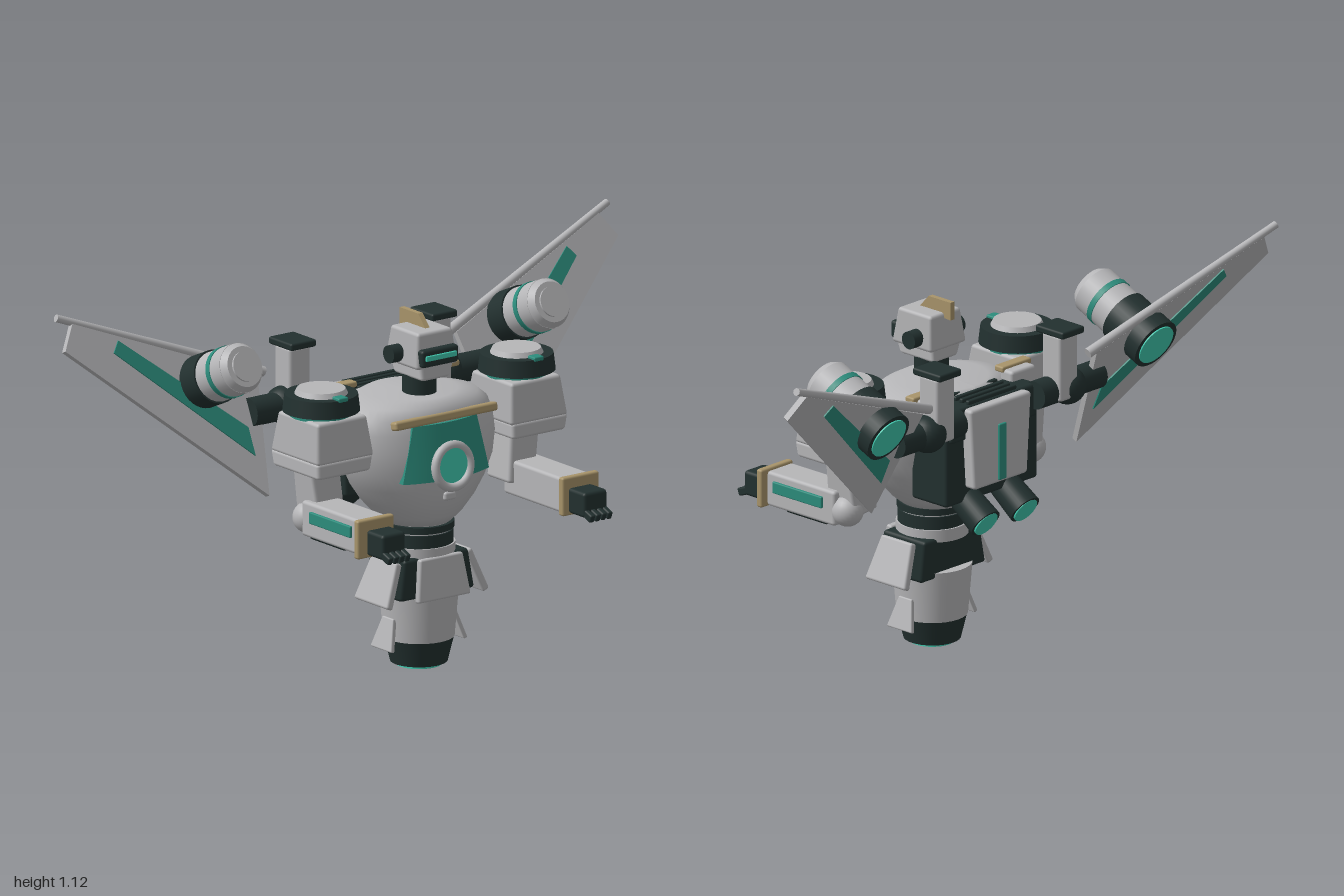
import * as THREE from 'three';
import { RoundedBoxGeometry } from 'three/addons/geometries/RoundedBoxGeometry.js';

const paint = (name, color) => {
  const m = new THREE.MeshStandardMaterial({ color });
  m.name = name;
  return m;
};

export function createModel() {
  const grey = paint('light grey armour', 0xb6b6b8);
  const dark = paint('dark frame', 0x22302f);
  const teal = paint('teal trim', 0x2c8c7c);
  const glow = paint('bright teal glow', 0x42cdb2);
  const gold = paint('tan trim', 0xa8946a);
  const root = new THREE.Group();

  const add = (name, geo, mat, pos = [0, 0, 0], rot = [0, 0, 0]) => {
    const m = new THREE.Mesh(geo, mat);
    m.name = name;
    m.position.set(...pos);
    m.rotation.set(...rot);
    root.add(m);
    return m;
  };
  // softly rounded box
  const box = (name, mat, size, pos, rot) =>
    add(name, new RoundedBoxGeometry(...size, 2, Math.min(0.01, Math.min(...size) * 0.3)), mat, pos, rot);
  // box whose top is scaled in x and z
  const taper = (name, mat, size, top, pos, rot) => {
    const g = new RoundedBoxGeometry(...size, 2, Math.min(0.01, Math.min(...size) * 0.3));
    const p = g.attributes.position;
    for (let i = 0; i < p.count; i++) {
      const t = p.getY(i) / size[1] + 0.5;
      p.setX(i, p.getX(i) * (1 + (top[0] - 1) * t));
      p.setZ(i, p.getZ(i) * (1 + (top[1] - 1) * t));
    }
    return add(name, g, mat, pos, rot);
  };
  // cylinder between two points
  const rod = (name, mat, a, b, ra, rb = ra) => {
    const A = new THREE.Vector3(...a), d = new THREE.Vector3(...b).sub(A), len = d.length();
    const m = add(name, new THREE.CylinderGeometry(rb, ra, len, 32), mat);
    m.position.copy(A).addScaledVector(d, 0.5);
    m.quaternion.setFromUnitVectors(new THREE.Vector3(0, 1, 0), d.normalize());
    return m;
  };
  // upright disc from y0 to y1
  const disc = (name, mat, x, z, y0, y1, r0, r1) => rod(name, mat, [x, y0, z], [x, y1, z], r0, r1);

  // tail thruster, hips and waist
  disc('tailGlow', glow, 0, 0.018, 0, 0.02, 0.066);
  disc('tailNozzle', dark, 0, 0.018, 0.01, 0.088, 0.083, 0.102);
  disc('tailCup', grey, 0, 0.018, 0.085, 0.24, 0.103, 0.116);
  taper('hipBlock', dark, [0.27, 0.12, 0.175], [0.85, 0.95], [0, 0.282, 0.02]);
  taper('frontSkirt', grey, [0.19, 0.125, 0.022], [0.8, 1], [0, 0.28, 0.124], [-0.12, 0, 0]);
  disc('hipRing', grey, 0, 0.018, 0.33, 0.367, 0.105);
  disc('waist', dark, 0, 0.018, 0.36, 0.405, 0.1);
  disc('waistRing', grey, 0, 0.018, 0.4, 0.412, 0.095);
  disc('waistCollar', dark, 0, 0.018, 0.41, 0.43, 0.102);
  disc('waistNeck', grey, 0, 0.018, 0.425, 0.45, 0.09);

  // torso: an egg flattened from front to back
  const profile = [[0.001, 0.43], [0.1, 0.432], [0.135, 0.46], [0.178, 0.505], [0.215, 0.555], [0.243, 0.61],
    [0.256, 0.67], [0.256, 0.725], [0.243, 0.765], [0.21, 0.793], [0.14, 0.81], [0.001, 0.815]];
  const torso = new THREE.LatheGeometry(profile.map(p => new THREE.Vector2(...p)), 48, Math.PI);
  const tp = torso.attributes.position;
  for (let i = 0; i < tp.count; i++) {
    const x = tp.getX(i), y = tp.getY(i), z = tp.getZ(i), r = Math.hypot(x, z);
    tp.setZ(i, z * (1 - 2.4 * Math.max(0, r - 0.1)) + 0.01 - Math.max(0, y - 0.65) * 0.2);
  }
  torso.computeVertexNormals();
  add('torso', torso, grey);

  // chest plate bent around the torso
  const plate = new THREE.BoxGeometry(1, 0.165, 0.04, 16, 4, 1);
  const pp = plate.attributes.position;
  for (let i = 0; i < pp.count; i++) {
    const t = pp.getY(i) / 0.165 + 0.5;
    const x = pp.getX(i) * (0.31 - 0.08 * t);
    pp.setX(i, x);
    pp.setZ(i, pp.getZ(i) + 0.162 - 0.022 * t - 1.5 * x * x);
  }
  plate.computeVertexNormals();
  add('chestPlate', plate, teal, [0, 0.668, 0]);
  box('chestBar', gold, [0.37, 0.026, 0.03], [0, 0.762, 0.137], [-0.2, 0, 0]);
  add('coreRing', new THREE.TorusGeometry(0.062, 0.013, 12, 40), grey, [0, 0.623, 0.178], [-0.1, 0, 0]);
  rod('coreGlow', glow, [0, 0.623, 0.15], [0, 0.623, 0.182], 0.054);
  box('bellyStud', grey, [0.042, 0.026, 0.03], [0, 0.532, 0.155]);

  // head
  disc('neck', dark, 0, 0.02, 0.79, 0.88, 0.05);
  taper('jaw', grey, [0.1, 0.05, 0.135], [1.25, 1.1], [0, 0.888, 0.032]);
  taper('skull', grey, [0.15, 0.105, 0.158], [0.82, 0.83], [0, 0.955, 0.03]);
  box('visor', dark, [0.132, 0.052, 0.03], [0, 0.936, 0.107]);
  box('visorGlow', glow, [0.11, 0.016, 0.008], [0, 0.938, 0.123]);
  rod('ears', dark, [-0.105, 0.936, 0.012], [0.105, 0.936, 0.012], 0.026);
  const crest = new THREE.Shape([[0.065, 1.0], [0.025, 1.044], [-0.062, 1.044], [-0.062, 0.99]]
    .map(([z, y]) => new THREE.Vector2(-z, y)));
  add('crest', new THREE.ExtrudeGeometry(crest, { depth: 0.016, bevelEnabled: false }), gold, [-0.008, 0, 0], [0, Math.PI / 2, 0]);

  // backpack
  box('backpackFrame', dark, [0.38, 0.245, 0.14], [0, 0.625, -0.15]);
  box('backpackTop', dark, [0.36, 0.1, 0.13], [0, 0.745, -0.165]);
  taper('backpackPanel', grey, [0.22, 0.245, 0.06], [1.15, 1], [0, 0.668, -0.227]);
  box('backpackStripe', teal, [0.03, 0.17, 0.012], [0, 0.64, -0.258]);
  for (let i = 0; i < 5; i++) box('ventSlat', dark, [0.2, 0.014, 0.014], [0, 0.8, -0.115 - i * 0.025]);

  // wing plane leans back by this angle, hinged at its lowest point
  const lean = Math.atan(0.445), stretch = 1 / Math.cos(lean);

  for (const s of [1, -1]) {
    const X = (x, y, z) => [s * x, y, z];

    // side skirt and tail fin
    taper('sideSkirt', grey, [0.024, 0.135, 0.16], [1, 0.75], X(0.15, 0.27, 0.03), [0, 0, s * 0.38]);
    taper('tailFin', grey, [0.014, 0.095, 0.1], [1, 0.5], X(0.119, 0.108, 0.018), [0, 0, s * 0.28]);

    // shoulder
    taper('shoulderLip', grey, [0.19, 0.05, 0.215], [1.06, 1.05], X(0.352, 0.668, 0.02));
    taper('shoulderBlock', grey, [0.205, 0.12, 0.226], [0.86, 0.84], X(0.35, 0.747, 0.02));
    disc('shoulderTrim', teal, s * 0.353, 0.018, 0.803, 0.82, 0.092);
    disc('shoulderDisc', dark, s * 0.353, 0.018, 0.817, 0.867, 0.112, 0.106);
    disc('shoulderCap', grey, s * 0.353, 0.018, 0.865, 0.882, 0.078, 0.07);
    box('shoulderClip', teal, [0.035, 0.014, 0.034], X(0.353, 0.868, 0.108));

    // arm
    taper('upperArm', grey, [0.095, 0.18, 0.11], [1.1, 0.8], X(0.352, 0.575, 0.005), [0, 0, -s * 0.12]);
    add('elbow', new THREE.SphereGeometry(0.047, 24, 16), grey, X(0.378, 0.495, -0.008));
    box('forearm', grey, [0.105, 0.105, 0.27], X(0.365, 0.503, 0.142));
    box('forearmPanel', teal, [0.012, 0.035, 0.195], X(0.419, 0.514, 0.15));
    box('forearmGuard', dark, [0.085, 0.03, 0.165], X(0.372, 0.461, 0.122));
    box('cuff', gold, [0.132, 0.115, 0.022], X(0.37, 0.503, 0.289));
    box('hand', dark, [0.084, 0.075, 0.08], X(0.364, 0.492, 0.338));
    for (let i = 0; i < 4; i++)
      box('finger', dark, [0.017, 0.024, 0.045], X(0.333 + i * 0.021, 0.464, 0.382), [0.35, 0, 0]);

    // lower back thruster
    rod('backThruster', dark, X(0.082, 0.53, -0.15), X(0.082, 0.444, -0.272), 0.044, 0.05);
    rod('backThrusterGlow', glow, X(0.082, 0.446, -0.269), X(0.082, 0.442, -0.276), 0.041);

    // stack, collar bar and wing joint
    box('stack', grey, [0.075, 0.2, 0.075], X(0.255, 0.835, -0.245));
    box('stackCap', dark, [0.092, 0.022, 0.11], X(0.255, 0.943, -0.245));
    box('collarBar', gold, [0.12, 0.018, 0.035], X(0.185, 0.824, -0.125));
    box('collarBlock', grey, [0.1, 0.085, 0.05], X(0.18, 0.782, -0.15));
    rod('wingJoint', dark, X(0.16, 0.762, -0.235), X(0.42, 0.762, -0.235), 0.042);
    add('wingHub', new THREE.SphereGeometry(0.056, 24, 16), dark, X(0.29, 0.762, -0.24));

    // wing: plate, stripes on both faces and a leading spar
    const wing = (name, mat, pts, depth) => {
      const shape = new THREE.Shape(pts.map(([x, y]) => new THREE.Vector2(s * x, (y - 0.525) * stretch)));
      const g = new THREE.ExtrudeGeometry(shape, { depth, bevelEnabled: false });
      g.translate(0, 0, -depth / 2);
      return add(name, g, mat, [0, 0.525, -0.135], [-lean, 0, 0]);
    };
    wing('wing', grey, [[0.36, 0.855], [0.95, 1.083], [0.998, 1.015], [0.425, 0.535]], 0.018);
    wing('wingStripe', teal, [[0.835, 0.985], [0.81, 1.015], [0.44, 0.722], [0.44, 0.645]], 0.026);
    const onWing = (x, y) => X(x, y, -0.135 - 0.445 * (y - 0.525));
    rod('wingSpar', grey, onWing(0.33, 0.858), onWing(0.995, 1.107), 0.015, 0.011);

    // wing engine pod along a sloping axis
    const at = t => X(0.555, 0.958 - 0.41 * t, -0.078 - 0.912 * t);
    rod('podNose', grey, at(-0.006), at(0.01), 0.044);
    rod('podNoseRim', grey, at(0), at(0.02), 0.06, 0.073);
    rod('podBody', grey, at(0.02), at(0.16), 0.074);
    rod('podBand', teal, at(0.072), at(0.09), 0.0765);
    rod('podBarrel', dark, at(0.145), at(0.285), 0.079);
    rod('podGlow', glow, at(0.28), at(0.289), 0.064);
  }
  return root;
}
